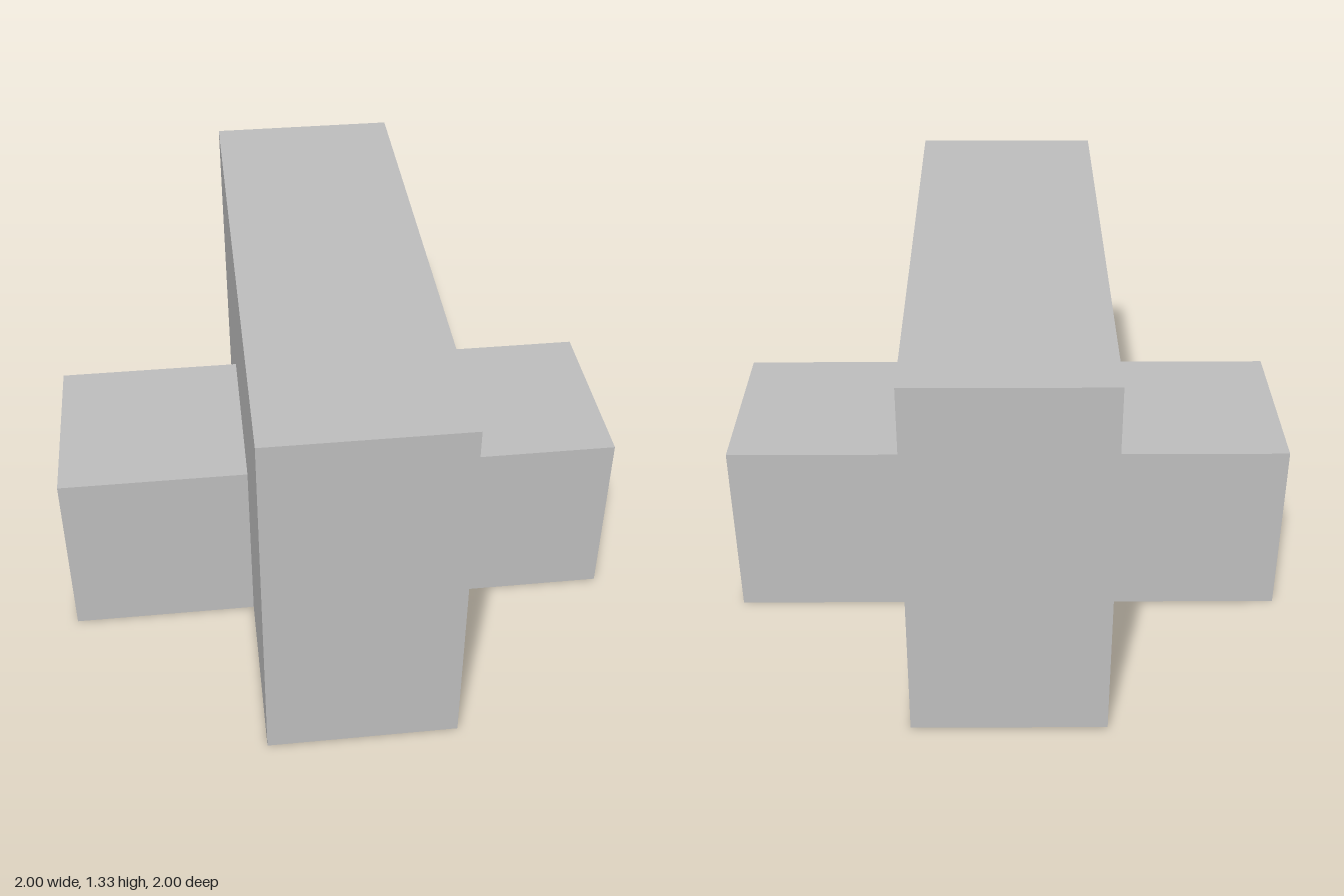
import * as THREE from 'three';

const U = 2 / 3; // one module: the width of both arms
const H = U / 2;

export function createModel() {
  const model = new THREE.Group();
  model.name = 'crossBlock';
  const grey = new THREE.MeshStandardMaterial({ color: 0xc0c0c0, side: THREE.DoubleSide });
  grey.name = 'plain grey';

  // Flat sheet, turned and placed
  const add = (name, geometry, position, rotation) => {
    const mesh = new THREE.Mesh(geometry, grey);
    mesh.name = name;
    mesh.position.set(...position);
    mesh.rotation.set(...rotation);
    model.add(mesh);
  };

  // Outline of a tall side wall, notched where the low arm passes through
  const notched = new THREE.Shape([
    [-1, 0], [-H, 0], [-H, U], [H, U], [H, 0], [1, 0], [1, 2 * U], [-1, 2 * U],
  ].map(([x, y]) => new THREE.Vector2(x, y)));

  for (const s of [1, -1]) {
    const side = s > 0 ? 'left' : 'right';
    const end = s > 0 ? 'front' : 'back';
    const turnX = [0, s * Math.PI / 2, 0];
    const turnZ = [0, s > 0 ? 0 : Math.PI, 0];

    // Tall body, open underneath
    add(`${side}BodyWall`, new THREE.ShapeGeometry(notched), [s * H, 0, 0], turnX);
    add(`${end}BodyWall`, new THREE.PlaneGeometry(U, 2 * U), [0, U, s], turnZ);

    // Low cross arm, open underneath, its long walls running through the body
    add(`${side}ArmEnd`, new THREE.PlaneGeometry(U, U), [s, H, 0], turnX);
    add(`${end}ArmWall`, new THREE.PlaneGeometry(2, U), [0, H, s * H], turnZ);
  }

  // Tops
  add('bodyTop', new THREE.PlaneGeometry(U, 2), [0, 2 * U, 0], [-Math.PI / 2, 0, 0]);
  add('armTop', new THREE.PlaneGeometry(2, U), [0, U, 0], [-Math.PI / 2, 0, 0]);

  return model;
}
